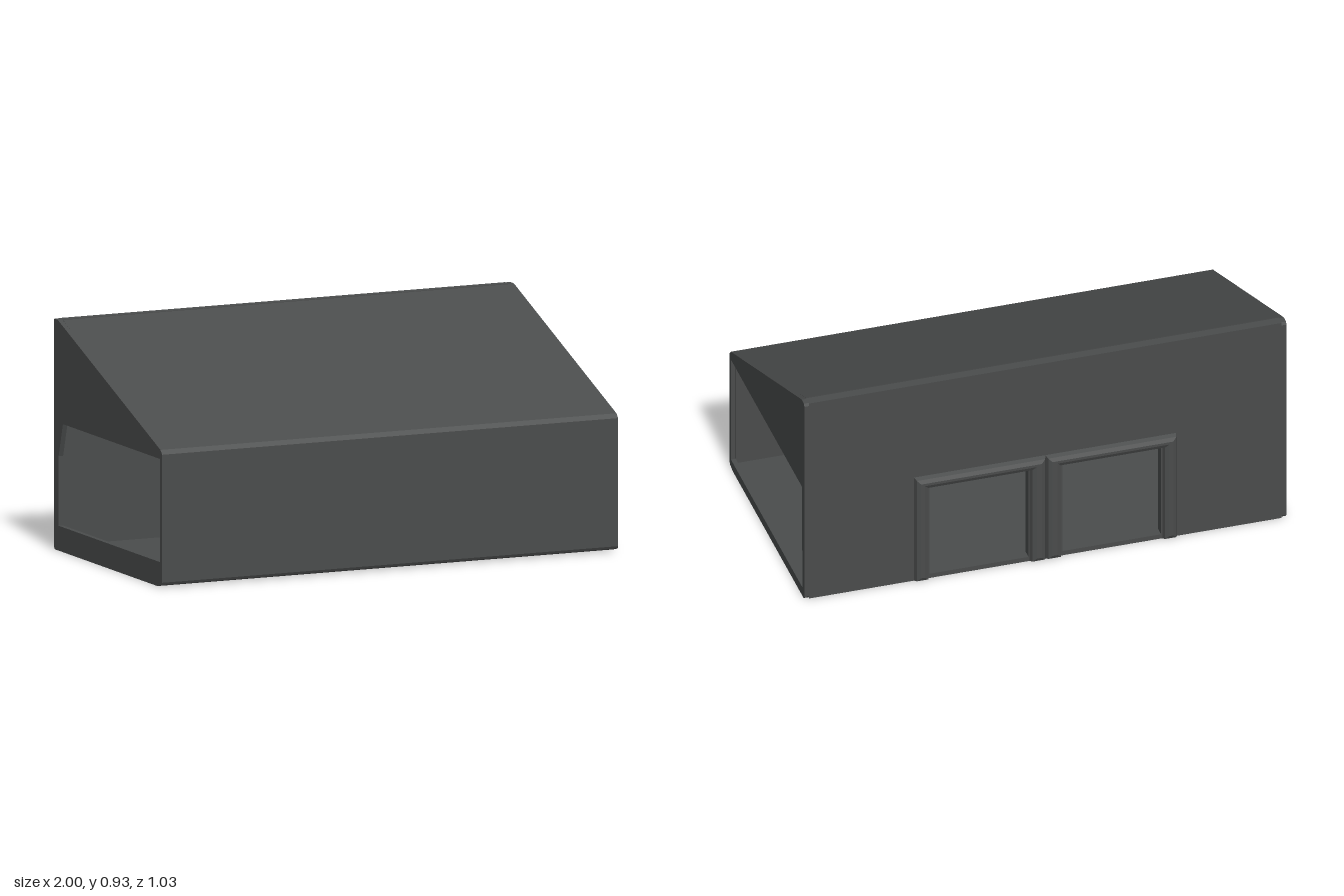
import * as THREE from 'three';

const HALF = 1, WALL = 0.02;
const BACK = -0.49, INNER_BACK = -0.45;
const material = new THREE.MeshStandardMaterial({ color: 0x4a4c4c });

const toPath = (points, Type = THREE.Shape) =>
  new Type(points.map(([a, b]) => new THREE.Vector2(a, b)));

function addMesh(group, name, geometry) {
  const mesh = new THREE.Mesh(geometry, material);
  mesh.name = name;
  group.add(mesh);
  return mesh;
}

// Extrudes a (z, y) section along x, between x0 and x1
function alongX(shape, x0, x1) {
  return new THREE.ExtrudeGeometry(shape, { depth: x1 - x0, bevelEnabled: false })
    .rotateY(-Math.PI / 2)
    .translate(x1, 0, 0);
}

export function createModel() {
  const group = new THREE.Group();

  // Outer cross-section: low front, sloping roof, tall back, softened corners
  const outline = [
    [BACK + 0.01, 0], [0.47, 0], [0.51, 0.01], [0.515, 0.02], [0.515, 0.535], [0.498, 0.552],
    [-0.43, 0.918], [-0.455, 0.927], [BACK + 0.005, 0.927], [BACK, 0.915], [BACK, 0.01],
  ];

  // Floor, front wall and roof as one thin folded sheet
  const sheet = [
    [INNER_BACK, 0], ...outline.slice(1, 8), [INNER_BACK, 0.927],
    [INNER_BACK, 0.904], [0.495, 0.53], [0.495, WALL], [INNER_BACK, WALL],
  ];
  addMesh(group, 'floorFrontAndRoof', alongX(toPath(sheet), -HALF + WALL, HALF - WALL));

  // Back wall with two doorways reaching the floor
  const edge = HALF - WALL;
  const backWall = [
    [-edge, 0], [-0.48, 0], [-0.48, 0.44], [-0.07, 0.44], [-0.07, 0],
    [0.07, 0], [0.07, 0.44], [0.48, 0.44], [0.48, 0], [edge, 0], [edge, 0.927], [-edge, 0.927],
  ];
  addMesh(group, 'backWall', new THREE.ExtrudeGeometry(toPath(backWall), {
    depth: INNER_BACK - BACK, bevelEnabled: false,
  }).translate(0, 0, BACK));

  // Doorway sills
  for (const side of [-1, 1]) {
    const sill = addMesh(group, 'doorSill', new THREE.BoxGeometry(0.41, WALL, 0.04));
    sill.position.set(side * 0.275, WALL / 2, -0.47);
  }

  // End walls: a triangular gable above a large opening
  const openings = {
    rightEndWall: [[0.495, 0.1], [0.495, 0.515], [-0.405, 0.515], [-0.445, 0.38], [-0.445, 0.1]],
    leftEndWall: [[0.497, 0.04], [0.497, 0.515], [-0.455, 0.515], [-0.465, 0.04]],
  };
  for (const [name, opening] of Object.entries(openings)) {
    const wall = toPath(outline);
    wall.holes.push(toPath(opening, THREE.Path));
    const x0 = name === 'leftEndWall' ? HALF - WALL : -HALF;
    addMesh(group, name, alongX(wall, x0, x0 + WALL));
  }

  // Bevelled frames standing proud of the back wall, one round each doorway
  const frame = [
    [0, 0], [0.065, 0], [0.065, 0.435], [0.485, 0.435], [0.485, 0], [0.545, 0], [0.545, 0.49], [0, 0.49],
  ];
  for (const side of [-1, 1]) {
    const shape = toPath(frame.map(([x, y]) => [side * x, y]));
    const geometry = new THREE.ExtrudeGeometry(shape, {
      depth: 0.015, bevelThickness: 0.025, bevelSize: 0.022, bevelOffset: -0.022, bevelSegments: 2,
    }).translate(0, 0, -0.49);
    addMesh(group, 'doorFrame', geometry);
  }

  return group;
}
